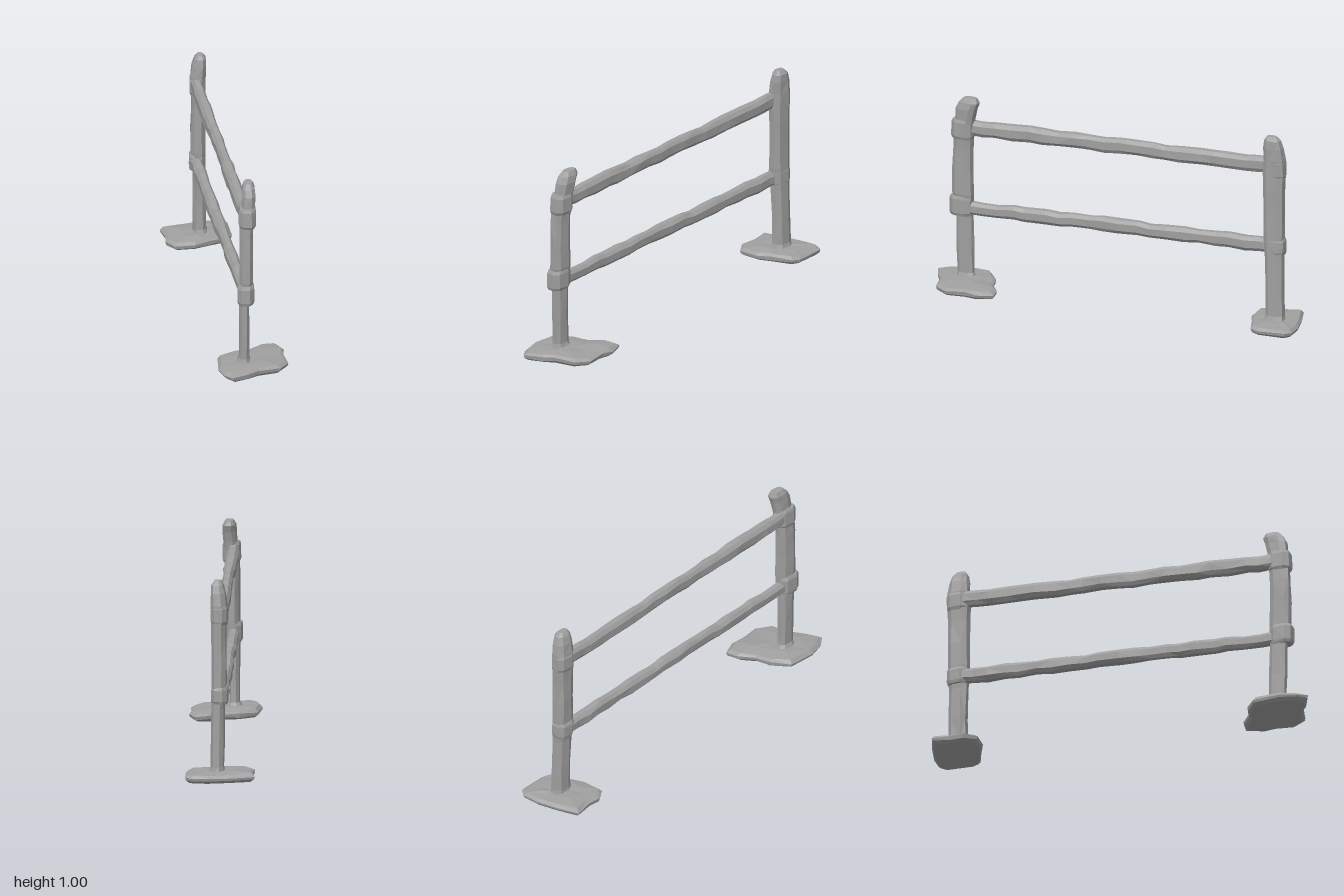
import * as THREE from 'three';

const wood = new THREE.MeshStandardMaterial({ color: 0xa0a0a0, flatShading: true });
wood.name = 'grey wood';

// Small seeded generator for the hand-hewn irregularity
let seed = 7;
const jitter = (amount) => {
  seed = (seed * 16807) % 2147483647;
  return (seed / 2147483647 - 0.5) * 2 * amount;
};

// Closed skin over equally sized rings of points, with fanned end caps
function loft(name, rings) {
  const n = rings[0].length;
  const pos = [];
  const index = [];
  rings.forEach((ring) => ring.forEach((p) => pos.push(p.x, p.y, p.z)));
  for (let r = 0; r < rings.length - 1; r++) {
    for (let i = 0; i < n; i++) {
      const a = r * n + i;
      const b = r * n + ((i + 1) % n);
      if ((r + i) % 2) index.push(a, a + n, b, b, a + n, b + n);
      else index.push(a, b + n, b, a, a + n, b + n);
    }
  }
  const cap = (ring, start, flip) => {
    const c = ring.reduce((s, p) => s.add(p), new THREE.Vector3()).divideScalar(n);
    const k = pos.length / 3;
    pos.push(c.x, c.y, c.z);
    for (let i = 0; i < n; i++) {
      const a = start + i;
      const b = start + ((i + 1) % n);
      if (flip) index.push(k, b, a);
      else index.push(k, a, b);
    }
  };
  cap(rings[0], 0, false);
  cap(rings[rings.length - 1], (rings.length - 1) * n, true);
  const geo = new THREE.BufferGeometry();
  geo.setAttribute('position', new THREE.Float32BufferAttribute(pos, 3));
  geo.setIndex(index);
  const flat = geo.toNonIndexed();
  flat.computeVertexNormals();
  const mesh = new THREE.Mesh(flat, wood);
  mesh.name = name;
  return mesh;
}

// Rounded-square section: u and v are the half-width directions
function section(center, u, v, sides, rough) {
  return Array.from({ length: sides }, (_, i) => {
    const a = ((i + 0.5) / sides) * Math.PI * 2;
    const soft = (t) => Math.sign(t) * Math.pow(Math.abs(t), 0.75);
    return center.clone()
      .addScaledVector(u, soft(Math.cos(a)) * (1 + jitter(rough)))
      .addScaledVector(v, soft(Math.sin(a)) * (1 + jitter(rough)));
  });
}

// Upright post; each level is [y, x, z, half width in x, half depth in z]
function post(name, levels, rough = 0.07) {
  return loft(name, levels.map(([y, x, z, w, d]) => section(
    new THREE.Vector3(x, y, z), new THREE.Vector3(w, 0, 0), new THREE.Vector3(0, 0, d), 8, rough)));
}

// Hewn rail between two points, with uneven thickness along its length
function rail(name, from, to, halfHeight, halfWidth) {
  const side = new THREE.Vector3(to.z - from.z, 0, from.x - to.x).normalize();
  const rings = [];
  const steps = 20;
  for (let i = 0; i <= steps; i++) {
    const t = i / steps + (i > 0 && i < steps ? jitter(0.012) : 0);
    const c = from.clone().lerp(to, t);
    c.y += jitter(0.004);
    const h = halfHeight * (1 + jitter(0.1));
    const w = halfWidth * (1 + jitter(0.16));
    rings.push(section(c, new THREE.Vector3(0, h, 0), side.clone().multiplyScalar(w), 8, 0.05));
  }
  return loft(name, rings);
}

// Flat stone foot from an outline of [x, z] points
function foot(name, outline, cx, cz) {
  const layers = [[0.004, 0.88], [0.016, 0.98], [0.032, 1], [0.046, 0.9], [0.052, 0.5]];
  return loft(name, layers.map(([y, s]) => outline.map(([x, z]) => new THREE.Vector3(
    cx + (x - cx) * s, y + (y > 0.01 ? jitter(0.004) : 0), cz + (z - cz) * s))));
}

export function createModel() {
  const model = new THREE.Group();
  model.name = 'fence section';

  // Posts, flared at the base and tapered at the top
  model.add(post('backPost', [
    [0.03, -0.1, -0.845, 0.044, 0.062], [0.07, -0.105, -0.847, 0.033, 0.049],
    [0.2, -0.106, -0.846, 0.033, 0.049], [0.36, -0.108, -0.842, 0.032, 0.05],
    [0.48, -0.112, -0.84, 0.036, 0.055], [0.6, -0.113, -0.84, 0.037, 0.054],
    [0.72, -0.112, -0.84, 0.037, 0.055], [0.8, -0.113, -0.838, 0.038, 0.056],
    [0.88, -0.112, -0.84, 0.04, 0.055], [0.94, -0.108, -0.838, 0.036, 0.05],
    [0.98, -0.102, -0.835, 0.029, 0.043], [1.0, -0.103, -0.83, 0.016, 0.026],
  ]));
  model.add(post('frontPost', [
    [0.03, 0.075, 0.795, 0.045, 0.062], [0.07, 0.079, 0.802, 0.026, 0.046],
    [0.2, 0.08, 0.805, 0.026, 0.045], [0.36, 0.08, 0.806, 0.026, 0.046],
    [0.48, 0.09, 0.812, 0.034, 0.054], [0.6, 0.09, 0.814, 0.033, 0.052],
    [0.72, 0.09, 0.812, 0.034, 0.052], [0.8, 0.094, 0.808, 0.036, 0.052],
    [0.88, 0.1, 0.795, 0.034, 0.052], [0.93, 0.102, 0.785, 0.034, 0.055],
    [0.965, 0.101, 0.772, 0.03, 0.055], [0.988, 0.1, 0.765, 0.02, 0.038],
  ]));

  // Thick bands where the rails meet the posts
  const band = (name, x, z, y0, y1, w, d) => model.add(post(name, [
    [y0, x, z, w * 0.88, d * 0.9], [y0 + 0.015, x, z, w, d],
    [y1 - 0.015, x, z, w, d], [y1, x, z, w * 0.88, d * 0.9],
  ], 0.04));
  band('frontUpperBand', 0.095, 0.81, 0.77, 0.872, 0.044, 0.058);
  band('frontLowerBand', 0.087, 0.822, 0.367, 0.468, 0.043, 0.061);
  band('backUpperBand', -0.115, -0.842, 0.785, 0.878, 0.041, 0.057);
  band('backLowerBand', -0.116, -0.842, 0.385, 0.47, 0.043, 0.056);

  // Two rails
  [['upperRail', 0.84, 0.826, 0.04], ['lowerRail', 0.424, 0.406, 0.036]].forEach(([name, y0, y1, h]) =>
    model.add(rail(name, new THREE.Vector3(-0.126, y0, -0.84), new THREE.Vector3(0.085, y1, 0.8), h, 0.029)));

  // Flat feet
  model.add(foot('backFoot', [
    [-0.3, -0.9], [-0.19, -0.95], [-0.08, -0.99], [0, -1], [0.035, -0.98], [0.055, -0.83],
    [0.04, -0.79], [-0.06, -0.74], [-0.13, -0.7], [-0.23, -0.685], [-0.275, -0.74], [-0.275, -0.81],
  ], -0.11, -0.845));
  model.add(foot('frontFoot', [
    [-0.05, 0.73], [0.03, 0.66], [0.11, 0.63], [0.18, 0.57], [0.24, 0.555], [0.28, 0.63], [0.275, 0.7],
    [0.298, 0.8], [0.26, 0.87], [0.15, 0.91], [0.1, 0.95], [0.02, 0.995], [-0.02, 0.95], [-0.05, 0.87],
  ], 0.11, 0.79));

  return model;
}
